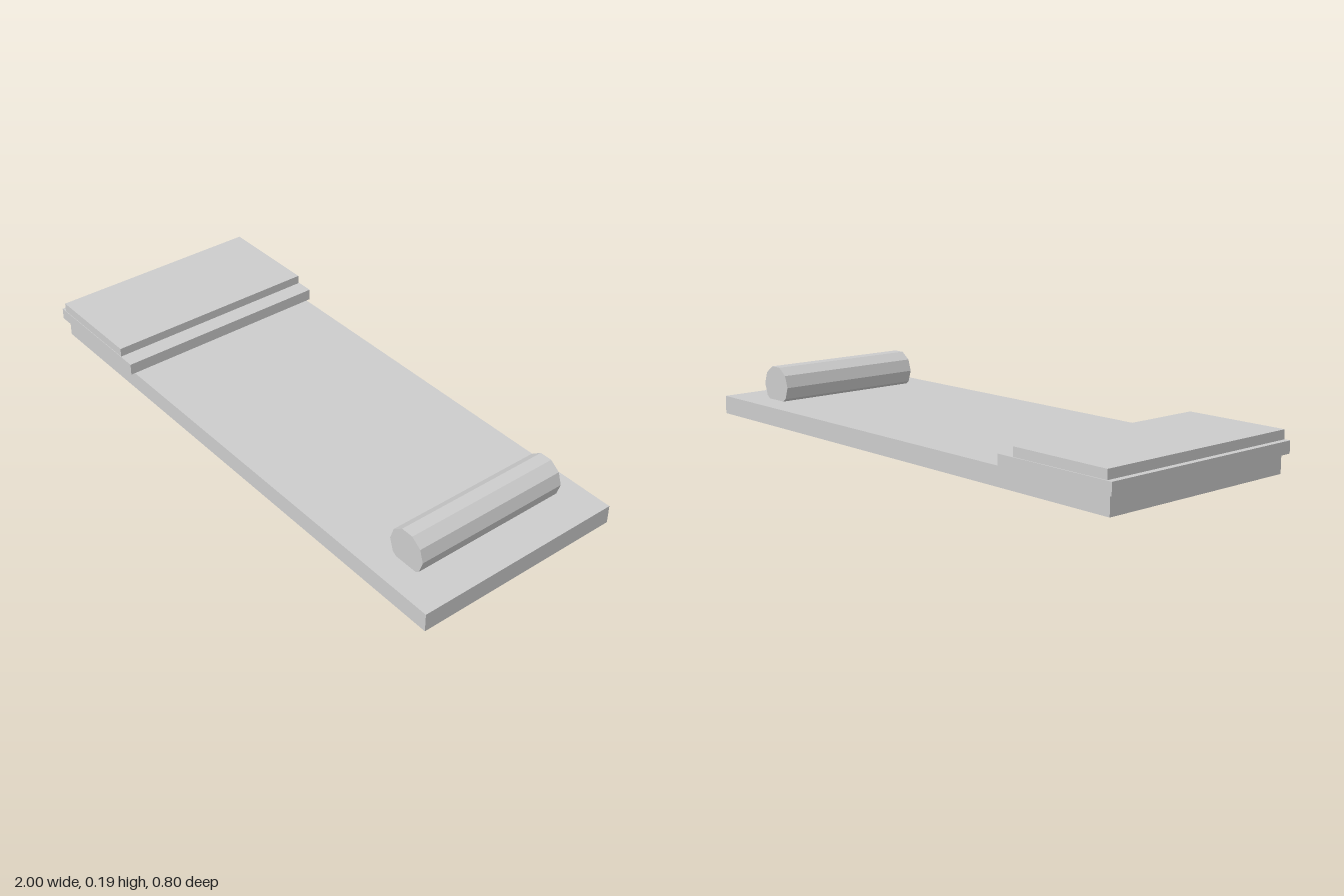
import * as THREE from 'three';

export function createModel() {
  const group = new THREE.Group();
  group.name = 'bed';
  const grey = new THREE.MeshStandardMaterial({ color: 0xcccccc, flatShading: true });
  grey.name = 'light grey';

  const add = (name, geometry, x, y, z) => {
    const mesh = new THREE.Mesh(geometry, grey);
    mesh.name = name;
    mesh.position.set(x, y, z);
    group.add(mesh);
  };

  // Box given by its limits along each axis
  const slab = (name, x0, x1, y0, y1, z0, z1) =>
    add(name, new THREE.BoxGeometry(x1 - x0, y1 - y0, z1 - z0),
      (x0 + x1) / 2, (y0 + y1) / 2, (z0 + z1) / 2);

  // Mattress, with a folded blanket in two layers at the foot end
  slab('mattress', -0.98, 0.997, 0, 0.066, -0.385, 0.385);
  slab('blanketLower', -1, -0.535, 0.066, 0.108, -0.4, 0.4);
  slab('blanketUpper', -0.979, -0.599, 0.108, 0.14, -0.396, 0.398);

  // Ten-sided bolster pillow, flat side up and slightly sunk into the mattress
  const bolster = new THREE.CylinderGeometry(0.073, 0.073, 0.578, 10, 1, false, Math.PI / 2);
  bolster.rotateX(Math.PI / 2);
  add('bolster', bolster, 0.8, 0.12, 0);

  return group;
}
